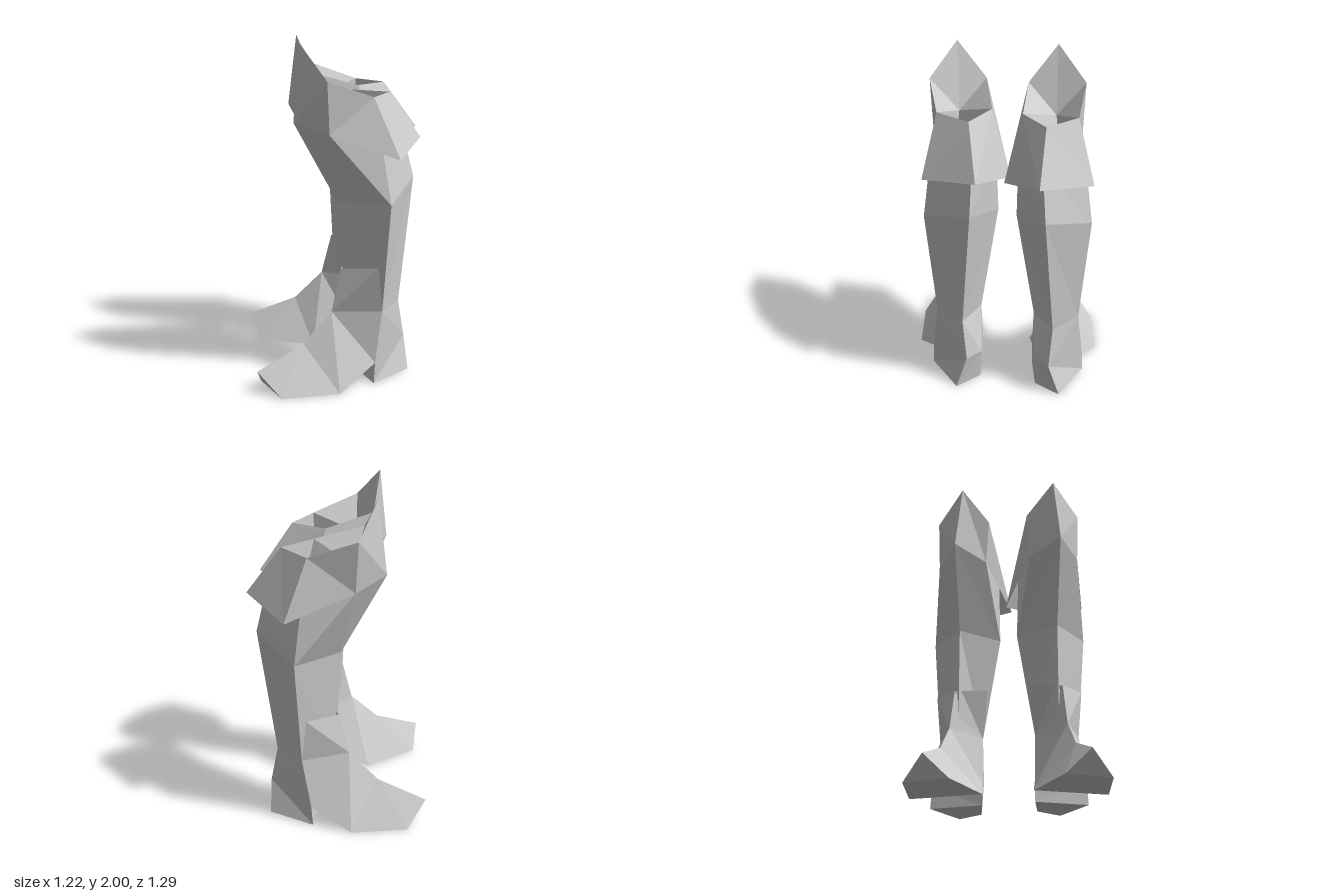
import * as THREE from 'three';

// Cross-section corners run front, outer, back, inner (counter-clockwise from above).
const calf = [[0.26, 1.09, 0.15], [0.57, 1.1, 0.04], [0.48, 1.2, -0.29], [0.15, 1.08, -0.12]];
const ankle = [[0.27, 0.43, 0.21], [0.51, 0.44, 0.03], [0.47, 0.44, -0.18], [0.27, 0.44, -0.1]];
const shaftEnd = [[0.28, 0.43, 0.12], ...ankle.slice(1)];

// Knee: the front three corners are shared by the shaft and the cuff.
const kneeFront = [0.12, 1.57, 0.37], kneeOuter = [0.32, 1.51, 0.29], kneeInner = [0.05, 1.51, 0.15];
const cuffHem = [kneeFront, kneeOuter, [0.6, 1.36, 0], [0.48, 1.43, -0.35], [0.145, 1.33, -0.23], kneeInner];
const cuffRim = [[0.12, 2, 0.31], [0.32, 1.81, 0.31], [0.446, 1.71, 0.055],
  [0.384, 1.71, -0.165], [0.168, 1.71, -0.09], [0.02, 1.79, 0.16]];

const quad = (a, b, c, d) => [[a, b, c], [a, c, d]];

// Wall of quads between two loops with equal corner counts
function band(low, high, closed = true) {
  const faces = [];
  const n = low.length;
  for (let i = 0; i < (closed ? n : n - 1); i++) {
    const j = (i + 1) % n;
    faces.push(...quad(low[i], low[j], high[j], high[i]));
  }
  return faces;
}

function shaftFaces() {
  const [f, o, k, i] = calf;
  const topO = [0.49, 1.5, 0.05], topK = [0.42, 1.5, -0.24], topI = [0.17, 1.5, -0.13];
  return [
    ...band(shaftEnd, calf),
    ...quad(f, o, kneeOuter, kneeFront),
    [o, topO, kneeOuter],
    ...quad(o, k, topK, topO),
    ...quad(k, i, topI, topK),
    [i, kneeInner, topI],
    ...quad(i, f, kneeFront, kneeInner),
  ];
}

function cuffFaces() {
  const [tip, outer, rimO, rimK, rimI, inner] = cuffRim;
  const notch = [0.2, 1.62, 0.19];
  const mouth = [notch, rimO, rimK, rimI];
  const floor = [[0.27, 1.45, 0.13], [0.43, 1.45, 0.05], [0.38, 1.45, -0.14], [0.27, 1.45, -0.1]];
  return [
    ...band(cuffHem, cuffRim),
    // back of the raised knee point
    [tip, outer, notch], [outer, rimO, notch], [rimI, inner, notch], [inner, tip, notch],
    // hollow mouth
    ...band(mouth, floor), ...quad(...floor),
  ];
}

// Small flared flap in front of the ankle
function flapFaces() {
  const [f, o, , i] = ankle;
  return band([i, f, o], [[0.194, 0.73, -0.05], [0.29, 0.69, 0.15], [0.51, 0.72, 0.07]], false);
}

function footFaces() {
  const [f, o, k, i] = ankle;
  const instep = [0.19, 0.25, 0.37];
  const toeTop = [0.07, 0.13, 0.64], toeO = [0.24, 0, 0.61], toeI = [-0.02, 0, 0.52];
  const ballO = [0.45, 0, 0.34], ballI = [0.05, 0, 0.16];
  const archO = [0.51, 0.13, 0.09], archI = [0.21, 0.13, -0.03];
  const heelO = [0.48, 0.2, -0.23], heelI = [0.36, 0.2, -0.22];
  // heel sole: front outer, back outer, back inner, front inner
  const sole = [[0.51, 0, 0.1], [0.54, 0, -0.2], [0.36, 0, -0.2], [0.21, 0, -0.03]];
  return [
    // ankle down to arch and heel
    [f, instep, ballO], [f, ballO, archO], [f, archO, o],
    [o, archO, heelO], [o, heelO, k], [k, heelO, heelI],
    [k, heelI, i], [i, heelI, archI],
    [f, i, archI], [f, archI, ballI], [f, ballI, instep],
    // toe
    [instep, ballI, toeI], [instep, toeI, toeTop],
    [instep, toeTop, toeO], [instep, toeO, ballO], [toeTop, toeI, toeO],
    // sole and arch
    ...quad(toeI, ballI, ballO, toeO), ...quad(ballI, archI, archO, ballO),
    // heel block
    ...band(sole, [archO, heelO, heelI, archI]),
    ...quad(sole[0], sole[3], sole[2], sole[1]),
  ];
}

// Places the opposite boot: mirrored, and turned outward
const mirror = new THREE.Matrix4().set(
  -0.25, 0, -0.968, 0.033,
  0, 1, 0, 0,
  -0.968, 0, 0.25, -0.07,
  0, 0, 0, 1,
);

function facetMesh(name, faces, mirrored, material) {
  const tris = mirrored ? faces.map(([a, b, c]) => [a, c, b]) : faces;
  const geometry = new THREE.BufferGeometry();
  geometry.setAttribute('position', new THREE.Float32BufferAttribute(tris.flat(2), 3));
  if (mirrored) geometry.applyMatrix4(mirror);
  geometry.computeVertexNormals();
  const mesh = new THREE.Mesh(geometry, material);
  mesh.name = name;
  return mesh;
}

function boot(name, mirrored, material) {
  const group = new THREE.Group();
  group.name = name;
  group.add(
    facetMesh('shaft', shaftFaces(), mirrored, material),
    facetMesh('cuff', cuffFaces(), mirrored, material),
    facetMesh('ankleFlap', flapFaces(), mirrored, material),
    facetMesh('foot', footFaces(), mirrored, material),
  );
  return group;
}

export function createModel() {
  const material = new THREE.MeshStandardMaterial({
    color: 0xcccccc, flatShading: true, side: THREE.DoubleSide,
  });
  const model = new THREE.Group();
  model.name = 'pairOfBoots';
  model.add(boot('leftBoot', false, material), boot('rightBoot', true, material));
  return model;
}
